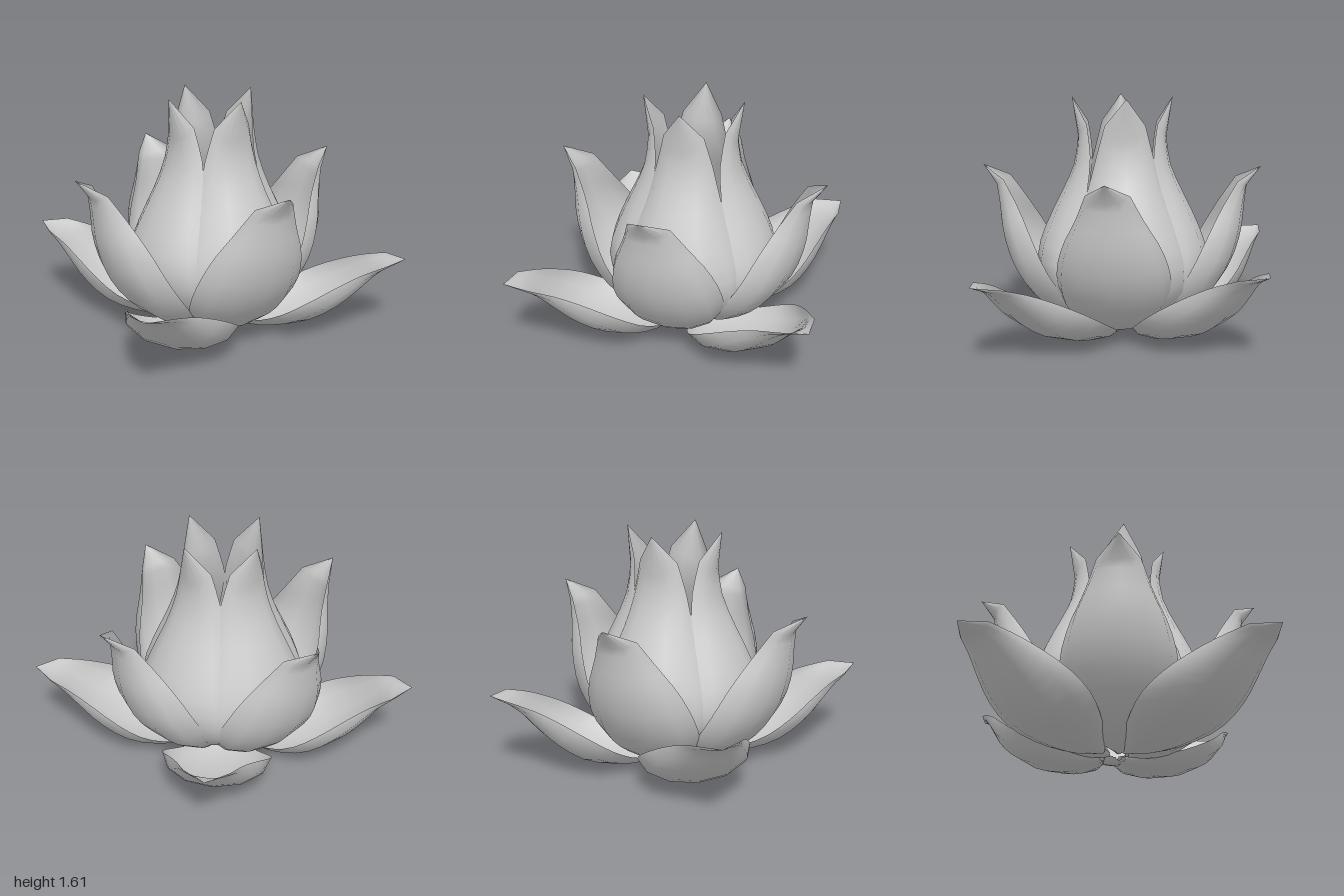
import * as THREE from 'three';

// Each row of a petal, base to shoulder: [rib radius, rib y, edge radius, edge y, half width]; tip: [radius, y]
const INNER = {
  tip: [0.34, 1.61],
  rows: [
    [0.05, 0.03, 0.05, 0.05, 0.02], [0.2, 0.06, 0.13, 0.11, 0.16], [0.4, 0.16, 0.2, 0.22, 0.32],
    [0.53, 0.32, 0.26, 0.36, 0.42], [0.585, 0.52, 0.29, 0.52, 0.42], [0.53, 0.72, 0.27, 0.74, 0.35],
    [0.42, 0.95, 0.23, 1.0, 0.25], [0.33, 1.15, 0.21, 1.22, 0.19], [0.3, 1.34, 0.235, 1.43, 0.135],
  ],
};
const MIDDLE = {
  tip: [0.955, 1.14],
  rows: [
    [0.06, 0.02, 0.06, 0.04, 0.02], [0.2, 0.03, 0.15, 0.08, 0.14], [0.4, 0.09, 0.25, 0.17, 0.28],
    [0.6, 0.24, 0.36, 0.3, 0.36], [0.75, 0.45, 0.48, 0.48, 0.375], [0.825, 0.68, 0.58, 0.68, 0.32],
    [0.845, 0.88, 0.68, 0.87, 0.22], [0.86, 1.01, 0.79, 1.05, 0.14],
  ],
};
const OUTER = {
  tip: [1.335, 0.545],
  rows: [
    [0.1, 0.02, 0.1, 0.05, 0.03], [0.26, 0.0, 0.22, 0.06, 0.15], [0.48, 0.02, 0.38, 0.12, 0.28],
    [0.74, 0.09, 0.55, 0.21, 0.36], [0.94, 0.22, 0.72, 0.31, 0.35], [1.07, 0.35, 0.9, 0.41, 0.28],
    [1.15, 0.44, 1.05, 0.48, 0.21], [1.21, 0.49, 1.2, 0.53, 0.145],
  ],
};

// Cupped petal growing along +z: every row is half an ellipse from edge to rib to edge
function petalGeometry({ rows, tip }, steps = 16, segments = 6) {
  const curve = (pick) => new THREE.CatmullRomCurve3(rows.map((r) => new THREE.Vector3(...pick(r))));
  const rib = curve((r) => [0, r[1], r[0]]);
  const edge = curve((r) => [r[4], r[3], r[2]]);
  const end = new THREE.Vector3(0, tip[1], tip[0]);
  const positions = [], index = [];
  for (let i = 0; i <= steps + 1; i++) {
    const mid = i > steps ? end : rib.getPoint(i / steps);
    const side = i > steps ? end : edge.getPoint(i / steps);
    for (let j = 0; j <= segments; j++) {
      const a = (j / segments - 0.5) * Math.PI;
      const p = side.clone().lerp(mid, Math.cos(a));
      positions.push(side.x * Math.sin(a), p.y, p.z);
      if (i > steps || j === segments) continue;
      const n = i * (segments + 1) + j, up = n + segments + 1;
      index.push(n, n + 1, up + 1, n, up + 1, up);
    }
  }
  const geometry = new THREE.BufferGeometry();
  geometry.setAttribute('position', new THREE.Float32BufferAttribute(positions, 3));
  geometry.setIndex(index);
  geometry.computeVertexNormals();
  return geometry;
}

export function createModel() {
  const flower = new THREE.Group();
  flower.name = 'lotusFlower';
  const material = new THREE.MeshStandardMaterial({ color: 0xcccccc, side: THREE.DoubleSide });

  const addRing = (name, shape, x, z, petals) => {
    const ring = new THREE.Group();
    ring.name = `${name}Ring`;
    ring.position.set(x, 0, z);
    const geometry = petalGeometry(shape);
    petals.forEach(({ yaw, length = 1, height = 1 }, i) => {
      const petal = new THREE.Mesh(geometry, material);
      petal.name = `${name}Petal${i + 1}`;
      petal.rotation.y = yaw;
      petal.scale.set(1, height, length);
      ring.add(petal);
    });
    flower.add(ring);
  };
  // Front, left, back and right petals, each turned a few degrees off its axis
  const quarterTurns = (offsets) =>
    offsets.map((offset, k) => ({ yaw: THREE.MathUtils.degToRad(90 * k + offset) }));

  // Upright inner petals and half-open middle petals
  addRing('inner', INNER, -0.01, 0.01, quarterTurns([3, 8, 3, 5]));
  addRing('middle', MIDDLE, -0.035, 0.02, quarterTurns([0, -2.5, 0, -3]));

  // Spread outer petals on the diagonals, each aimed at its own tip [x, z, height]
  const tips = [[1.02, 0.89, 0.96], [0.87, -0.92, 1.05], [-0.85, -0.97, 1.05], [-0.98, 0.96, 1]];
  addRing('outer', OUTER, -0.02, -0.02, tips.map(([x, z, height]) => (
    { yaw: Math.atan2(x, z), length: Math.hypot(x, z) / 1.335, height })));

  return flower;
}
